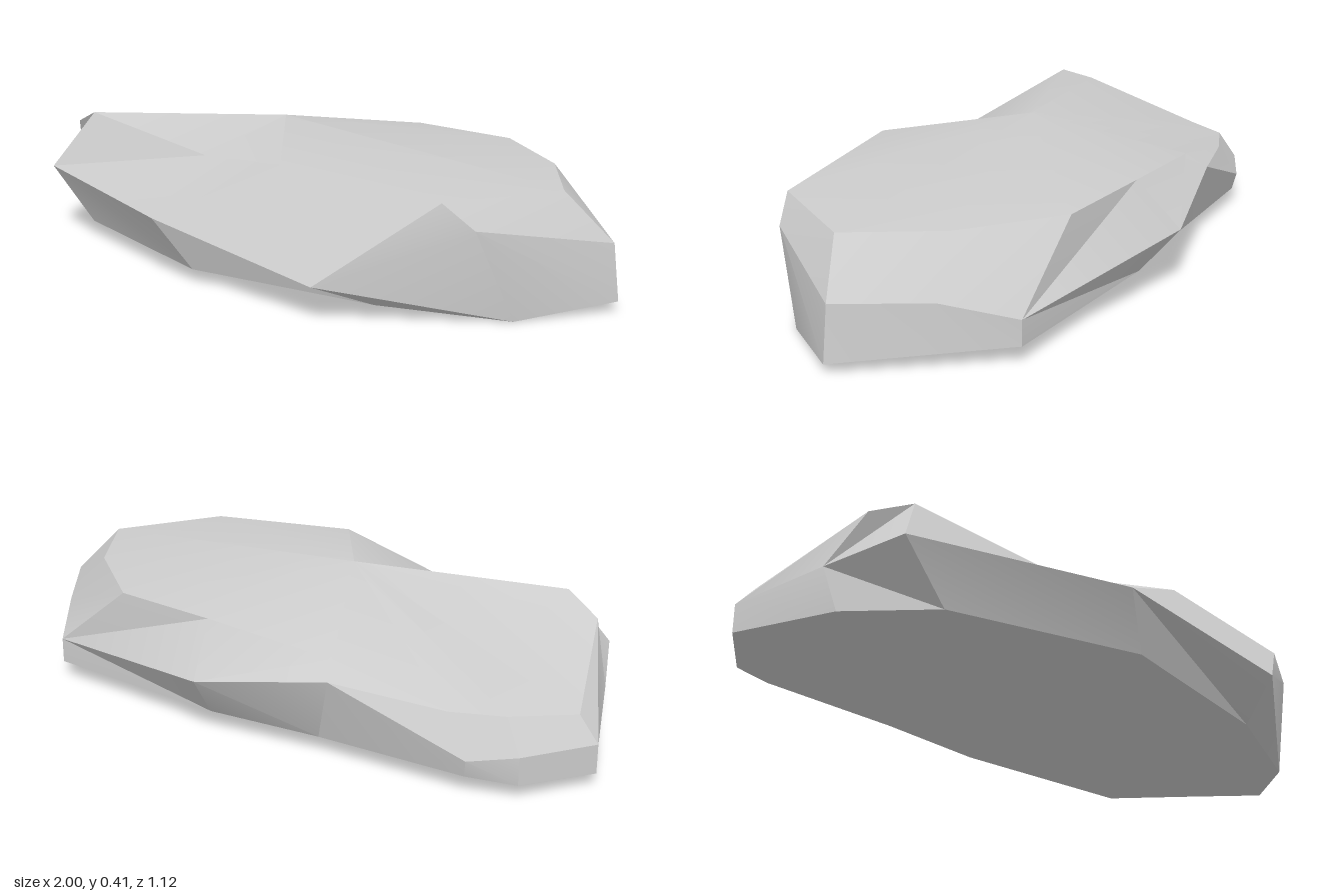
import * as THREE from 'three';
import { toCreasedNormals } from 'three/addons/utils/BufferGeometryUtils.js';

// Columns around the rock, clockwise from above: [base], [widest edge], [top rim]
const COLUMNS = [
  [[-1, 0.035, -0.08], [-1, 0.12, -0.08], [-0.94, 0.19, -0.08]],
  [[-0.88, 0.04, -0.28], [-0.88, 0.12, -0.28], [-0.82, 0.21, -0.25]],
  [[-0.75, 0.05, -0.34], [-0.76, 0.1, -0.35], [-0.68, 0.21, -0.32]],
  [[-0.3, 0.05, -0.39], [-0.37, 0.25, -0.44], [-0.34, 0.29, -0.38]],
  [[0.05, 0.05, -0.45], [0.01, 0.19, -0.56], [0.06, 0.33, -0.44]],
  [[0.66, 0.05, -0.46], [0.66, 0.125, -0.46], [0.4, 0.33, -0.44]],
  [[0.85, 0.04, -0.25], [0.8, 0.18, -0.29], [0.68, 0.33, -0.25]],
  [[1, 0.03, -0.08], [0.98, 0.19, -0.08], [0.86, 0.33, -0.01]],
  [[0.83, 0, 0.17], [0.77, 0.26, 0.27], [0.69, 0.33, 0.31]],
  [[0.5, 0.02, 0.35], [0.43, 0.1, 0.53], [0.19, 0.365, 0.38]],
  [[-0.05, 0.04, 0.49], [-0.14, 0.19, 0.56], [-0.18, 0.32, 0.3]],
  [[-0.62, 0.05, 0.36], [-0.77, 0.21, 0.39], [-0.68, 0.38, 0.29]],
  [[-0.85, 0.035, 0.2], [-0.88, 0.17, 0.17], [-0.8, 0.33, 0.25]],
];
const CROWN = [-0.1, 0.41, 0.03];
const UNDERSIDE = [0.1, 0.012, 0];

function rockGeometry() {
  const positions = [];
  const triangle = (a, b, c) => positions.push(...a, ...b, ...c);

  COLUMNS.forEach((column, i) => {
    const next = COLUMNS[(i + 1) % COLUMNS.length];
    // Lower and upper side facets
    for (let level = 0; level < 2; level++) {
      if (level === 0) {
        triangle(column[0], column[1], next[1]);
        triangle(column[0], next[1], next[0]);
      } else {
        triangle(column[1], column[2], next[1]);
        triangle(column[2], next[2], next[1]);
      }
    }
    // Crown and underside facets
    triangle(CROWN, next[2], column[2]);
    triangle(UNDERSIDE, column[0], next[0]);
  });

  const geometry = new THREE.BufferGeometry();
  geometry.setAttribute('position', new THREE.Float32BufferAttribute(positions, 3));
  return toCreasedNormals(geometry, 0.4);
}

export function createModel() {
  const group = new THREE.Group();
  group.name = 'flatRock';
  const rock = new THREE.Mesh(
    rockGeometry(),
    new THREE.MeshStandardMaterial({ color: 0xcccccc })
  );
  rock.name = 'rock';
  group.add(rock);
  return group;
}
